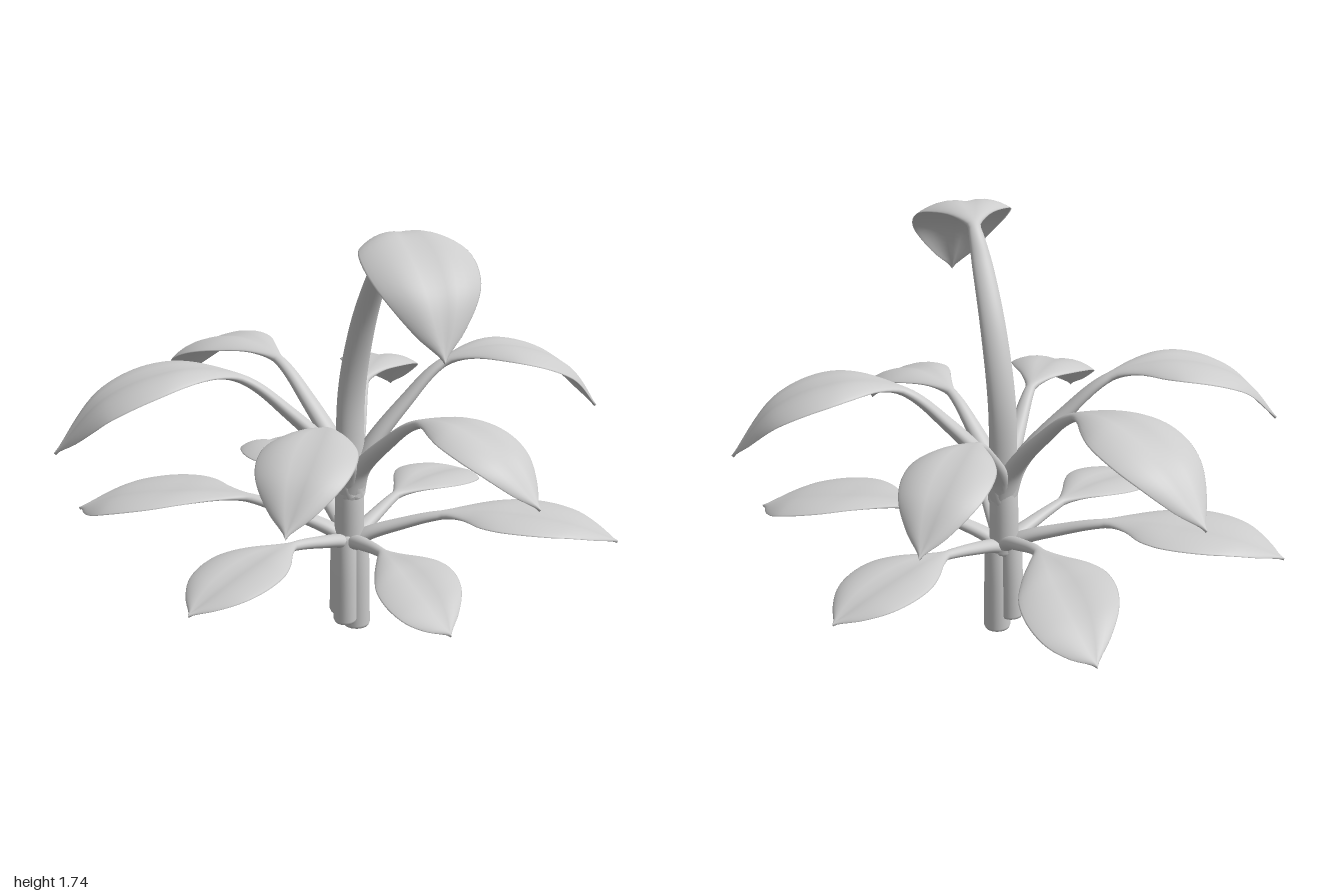
import * as THREE from 'three';

const material = new THREE.MeshStandardMaterial({ color: 0xcccccc, side: THREE.DoubleSide });
const V = (x, y, z) => new THREE.Vector3(x, y, z);
const AXIS = { x: 0.02, z: 0.08 };
const lerp = THREE.MathUtils.lerp;

// Half-width of a blade from its base to its tip, as a share of the widest point
const OUTLINE = new THREE.SplineCurve(
  [0.12, 0.37, 0.71, 0.94, 1, 0.93, 0.74, 0.42, 0].map((w, i) => new THREE.Vector2(i, w)));

// Loft a petiole and its blade along one midrib; points[joint] is where the blade starts
function leafGeometry(points, joint, { width, petiole, taper, droop, skew = 0 }) {
  const rows = 64, sides = 28, pos = [], index = [];
  const curve = new THREE.CatmullRomCurve3(points);
  const split = joint / (points.length - 1);
  const tip = points[points.length - 1];
  const dir = V(tip.x - points[joint].x, 0, tip.z - points[joint].z).normalize();
  const side = V(dir.z, 0, -dir.x);
  for (let i = 0; i <= rows; i++) {
    const t = i / rows, s = Math.min(1, t / split), v = Math.max(0, (t - split) / (1 - split));
    const p = curve.getPoint(t), tangent = curve.getTangent(t);
    const normal = tangent.clone().cross(side).normalize();
    const w = s < 1 ? lerp(petiole, width * 0.12, Math.pow(s, taper)) : width * OUTLINE.getPoint(v).y;
    const thick = s < 1 ? lerp(petiole * 0.75, 0.018, s) : lerp(0.018, 0.006, Math.min(1, v * 2.5));
    const cup = THREE.MathUtils.smoothstep(v, 0, 0.3);
    for (let j = 0; j < sides; j++) {
      const a = (j / sides) * Math.PI * 2, u = Math.cos(a);
      // each half bulges beside the midrib and droops at the edge
      const h = thick * Math.sin(a) + cup * w * (0.27 * Math.abs(u) - (0.27 + droop) * u * u);
      const q = p.clone().addScaledVector(side, u * w).addScaledVector(normal, h)
        .addScaledVector(tangent, skew * u * w * cup);
      pos.push(q.x, q.y, q.z);
      if (i < rows) {
        const b = i * sides + j, c = i * sides + (j + 1) % sides;
        index.push(b, c, b + sides, c, c + sides, b + sides);
      }
    }
  }
  const g = new THREE.BufferGeometry();
  g.setAttribute('position', new THREE.Float32BufferAttribute(pos, 3));
  g.setIndex(index);
  g.computeVertexNormals();
  return g;
}

// Midrib from the stem, up to the blade base, then arching over to the tip
function midrib([bx, bz], [tx, tz], y0, [yBase, yNear, yFar, yTip]) {
  const pts = [[0.02, 0], [0.15, 0.3], [0.57, 0.7], [1, 1]].map(([f, r]) =>
    V(lerp(AXIS.x, bx, f), lerp(y0, yBase, r), lerp(AXIS.z, bz, f)));
  [[0.36, yNear], [0.72, yFar], [1, yTip]].forEach(([f, y]) =>
    pts.push(V(lerp(bx, tx, f), y, lerp(bz, tz, f))));
  return pts;
}

// Upright stem with rounded ends
function stem(name, x, z, y0, y1, r0, r1) {
  const e = 0.018;
  const profile = [[0, y0], [r0 - e, y0], [r0 - e * 0.3, y0 + e * 0.3], [r0, y0 + e],
    [(r0 + r1) / 2, (y0 + y1) / 2], [r1, y1 - e], [r1 - e, y1], [0, y1]];
  const g = new THREE.LatheGeometry(profile.map(p => new THREE.Vector2(...p)), 24);
  const m = new THREE.Mesh(g, material);
  m.position.set(x, 0, z);
  m.name = name;
  return m;
}

export function createModel() {
  const plant = new THREE.Group();
  plant.name = 'leafyPlant';
  const add = (name, geometry) => {
    const m = new THREE.Mesh(geometry, material);
    m.name = name;
    plant.add(m);
  };

  // Bundle of three stalks at the foot, one stem above
  plant.add(
    stem('frontStalk', 0.046, 0.091, 0, 0.43, 0.057, 0.05),
    stem('sideStalk', -0.018, 0.085, 0.035, 0.43, 0.048, 0.046),
    stem('backStalk', 0.008, 0.045, 0.06, 0.43, 0.052, 0.048),
    stem('upperStem', 0.02, 0.073, 0.36, 0.74, 0.062, 0.056));

  // Tiers: blade base, tip, heights along the blade, half-width, skew
  const high = [1.11, 1.16, 1.08, 0.875], mid = [0.97, 1.01, 0.94, 0.785];
  const upper = [
    [[0.03, -0.33], [0.05, -1.0], [1.08, 1.125, 1.04, 0.85], 0.2, 0],
    [[-0.34, -0.17], [-0.95, -0.55], high, 0.21, -0.2],
    [[0.37, 0.27], [0.92, 0.65], high, 0.205, 0],
    [[0.31, -0.1], [0.83, -0.38], mid, 0.17, 0],
    [[-0.28, 0.23], [-0.8, 0.5], mid, 0.18, 0],
    [[0, 0.42], [-0.02, 1.0], mid, 0.172, 0],
  ];
  const lower = [
    [[0.36, 0.04], [0.945, 0], [0.475, 0.495, 0.465, 0.41], 0.175, 0],
    [[-0.32, 0.08], [-0.91, 0.12], [0.475, 0.495, 0.465, 0.41], 0.17, 0],
    [[-0.2, -0.29], [-0.61, -0.88], [0.545, 0.565, 0.535, 0.46], 0.205, -0.35],
    [[0.17, -0.29], [0.48, -0.9], [0.545, 0.565, 0.53, 0.44], 0.195, 0.35],
    [[-0.14, 0.38], [-0.39, 0.9], [0.475, 0.495, 0.465, 0.4], 0.17, -0.35],
    [[0.22, 0.39], [0.61, 0.97], [0.525, 0.55, 0.52, 0.45], 0.195, 0.35],
  ];
  // the skew is listed by world side, so turn it to the leaf's own side
  const build = (name, tier, y0, petiole, droop) => tier.forEach(([base, tip, ys, width, k], i) => {
    const skew = k * Math.sign(tip[1]);
    add(name + (i + 1), leafGeometry(midrib(base, tip, y0, ys), 3,
      { width, petiole, taper: 1, droop, skew }));
  });
  build('upperLeaf', upper, 0.6, 0.06, 0.13);
  build('lowerLeaf', lower, 0.37, 0.046, 0.06);

  // Tall leaf nodding forward on a long curved stalk
  add('tallLeaf', leafGeometry([
    V(0.02, 0.6, 0.08), V(0.025, 1.0, 0.075), V(0, 1.3, 0.15), V(-0.05, 1.54, 0.27),
    V(-0.085, 1.67, 0.355), V(-0.19, 1.72, 0.52), V(-0.29, 1.59, 0.71), V(-0.35, 1.36, 0.81),
  ], 4, { width: 0.205, petiole: 0.058, taper: 2.5, droop: 0.15 }));
  return plant;
}
